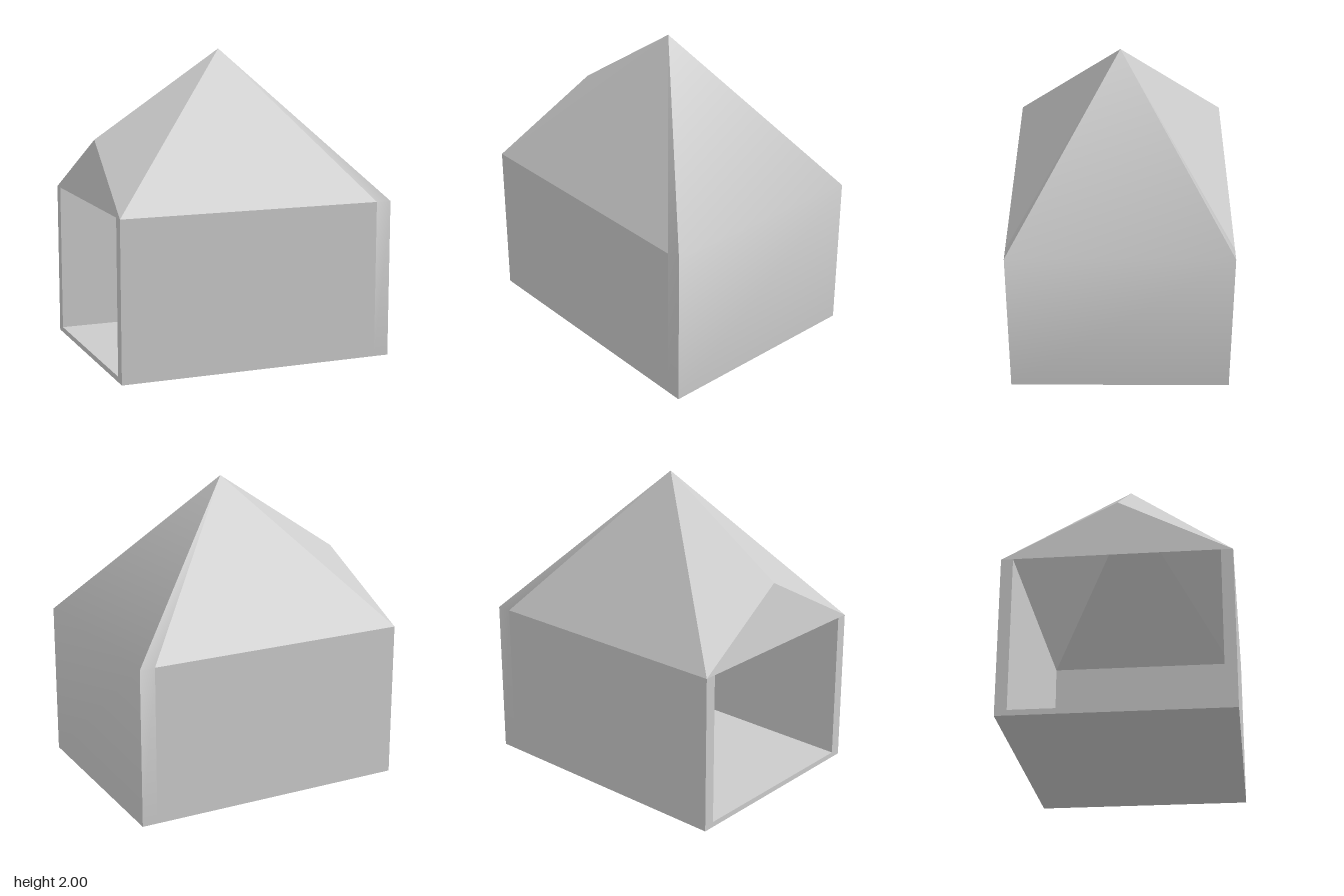
import * as THREE from 'three';

const W = 0.92, D = 0.715, H = 1.03, TOP = 2;   // half width, half depth, eave, apex
const FLAP = 0.82;                              // where the end panel wraps round the sides
const IN = 0.64, SILL = 0.035;                  // inner half depth, floor level

const material = new THREE.MeshStandardMaterial({ color: 0xcccccc, side: THREE.DoubleSide });

// Mesh from corner points and polygons (fanned); shared corners are shaded smooth unless flat.
function panel(name, points, polygons, smooth = false) {
  const index = [];
  for (const p of polygons) {
    for (let i = 1; i < p.length - 1; i++) index.push(p[0], p[i], p[i + 1]);
  }
  let geometry = new THREE.BufferGeometry();
  geometry.setAttribute('position', new THREE.Float32BufferAttribute(points.flat(), 3));
  geometry.setIndex(index);
  if (!smooth) geometry = geometry.toNonIndexed();
  geometry.computeVertexNormals();
  const mesh = new THREE.Mesh(geometry, material);
  mesh.name = name;
  return mesh;
}

export function createModel() {
  const group = new THREE.Group();
  group.name = 'pavilionTent';
  const apex = [0, TOP, 0], peak = [-0.86, 1.43, 0];
  const innerApex = [0, TOP - 0.1, 0], innerPeak = [-0.83, 1.36, 0];
  const add = (...args) => group.add(panel(...args));

  for (const s of [1, -1]) {
    const side = s > 0 ? 'front' : 'back';
    // Reverse the corner order on the mirrored side
    const faces = (...polys) => (s > 0 ? polys : polys.map((p) => [...p].reverse()));
    const z = s * D, zi = s * IN;

    // Long wall and the roof slope above it
    add(side + 'Wall', [[-W, 0, z], [FLAP, 0, z], [FLAP, H, z], [-W, H, z]], faces([0, 1, 2, 3]));
    add(side + 'Roof', [[-W, H, z], [FLAP, H, z], apex], faces([0, 1, 2]));

    // Flap of the end panel, folded over wall and roof
    add(side + 'Flap', [[FLAP, 0, z], [W, 0, z], [W, H, z], [FLAP, H, z], apex],
      faces([0, 1, 2, 3], [3, 2, 4]), true);

    // Half of the raised roof over the entrance
    add(side + 'EntranceRoof', [[-W, H, z], apex, peak], faces([0, 1, 2]));

    // Door post and inner lining
    add(side + 'Post', [[-W, 0, z], [-W, H, z], [-W, H, zi], [-W, 0, zi]], faces([0, 1, 2, 3]));
    add(side + 'Lining',
      [[-W, SILL, zi], [0.85, SILL, zi], [0.85, H, zi], [-W, H, zi], innerApex, innerPeak],
      faces([3, 2, 1, 0], [4, 2, 3], [5, 4, 3]));
  }

  // Closed end: wall running smoothly into its roof slope
  add('endPanel', [[W, 0, D], [W, 0, -D], [W, H, -D], [W, H, D], apex],
    [[0, 1, 2, 3], [3, 2, 4]], true);
  add('endLining', [[0.85, SILL, IN], [0.85, SILL, -IN], [0.85, H, -IN], [0.85, H, IN], innerApex],
    [[3, 2, 1, 0], [4, 2, 3]]);

  // Entrance gable with its inner face and lower rim
  add('gable', [[-W, H, -D], [-W, H, D], peak], [[0, 1, 2]]);
  add('gableLining', [[-W, H, IN], [-W, H, -IN], innerPeak], [[0, 1, 2]]);

  // Ground sheet, floor and door sill
  add('groundSheet', [[-W, 0, -D], [W, 0, -D], [W, 0, D], [-W, 0, D]], [[0, 1, 2, 3]]);
  add('floor', [[-W, SILL, IN], [0.85, SILL, IN], [0.85, SILL, -IN], [-W, SILL, -IN]], [[0, 1, 2, 3]]);
  add('sill', [[-W, 0, -IN], [-W, 0, IN], [-W, SILL, IN], [-W, SILL, -IN]], [[0, 1, 2, 3]]);
  return group;
}
